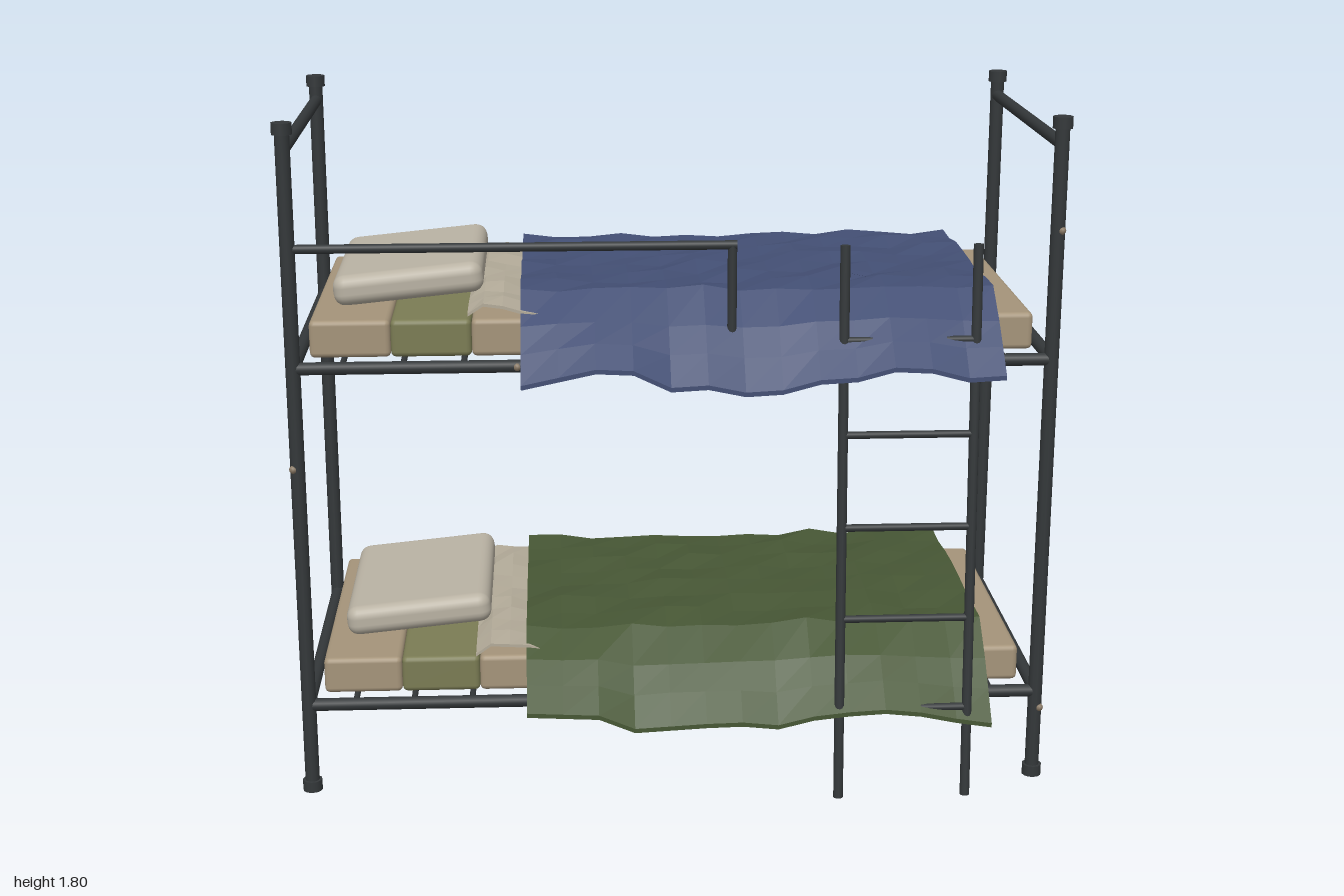
import * as THREE from 'three';
import { RoundedBoxGeometry } from 'three/addons/geometries/RoundedBoxGeometry.js';

const paint = (name, color) => {
  const m = new THREE.MeshStandardMaterial({ color });
  m.name = name;
  return m;
};

export function createModel() {
  const mat = {
    steel: paint('dark steel', 0x34383a),
    blue: paint('blue wool', 0x434f74),
    green: paint('green wool', 0x475735),
    tan: paint('tan ticking', 0xa5947a),
    olive: paint('olive ticking', 0x7b7c54),
    pillow: paint('pillow linen', 0xb9b2a3),
    sheet: paint('sheet linen', 0xb3ab99),
    rust: paint('worn spot', 0x8a7a66),
  };
  const model = new THREE.Group();
  model.name = 'bunkBed';

  const add = (parent, name, geo, material, x = 0, y = 0, z = 0) => {
    const m = new THREE.Mesh(geo, material);
    m.name = name;
    m.position.set(x, y, z);
    parent.add(m);
    return m;
  };

  // Round bar between two points
  const bar = (parent, name, a, b, r, sides = 12) => {
    const p = new THREE.Vector3(...a), q = new THREE.Vector3(...b);
    const d = q.clone().sub(p);
    const m = add(parent, name, new THREE.CylinderGeometry(r, r, d.length(), sides), mat.steel);
    m.position.copy(p).add(q).multiplyScalar(0.5);
    m.quaternion.setFromUnitVectors(new THREE.Vector3(0, 1, 0), d.normalize());
    return m;
  };

  // Repeatable value in -1..1 for a grid point
  const noise = (i, j, seed) => {
    const s = Math.sin(i * 12.99 + j * 78.23 + seed * 37.7) * 43758.55;
    return (s - Math.floor(s)) * 2 - 1;
  };

  // Thin faceted cloth: heightAt(i, j) gives y, xs and zs give the grid lines
  const cloth = (xs, zs, thick, heightAt) => {
    const nx = xs.length - 1, nz = zs.length - 1;
    const geo = new THREE.BoxGeometry(nx, 1, nz, nx, 1, nz);
    const p = geo.attributes.position;
    for (let k = 0; k < p.count; k++) {
      const i = Math.round(p.getX(k) + nx / 2), j = Math.round(p.getZ(k) + nz / 2);
      p.setXYZ(k, xs[i], heightAt(i, j) + p.getY(k) * thick, zs[j]);
    }
    const flat = geo.toNonIndexed();
    flat.computeVertexNormals();
    return flat;
  };

  const X = 0.975, ZF = 0.38, ZB = -0.48;

  // Corner posts with end caps
  for (const x of [-X, X]) for (const z of [ZF, ZB]) {
    bar(model, 'post', [x, 0.01, z], [x, 1.79, z], 0.019);
    for (const y of [0.015, 1.785])
      add(model, 'postCap', new THREE.CylinderGeometry(0.026, 0.026, 0.03, 12), mat.steel, x, y, z);
  }

  // Head and foot top rails
  for (const x of [-X, X]) bar(model, 'endRail', [x, 1.73, ZB], [x, 1.73, ZF], 0.016);

  // Guard rail on the upper bunk
  bar(model, 'guardRail', [-X, 1.48, ZF], [0.157, 1.48, ZF], 0.012);
  bar(model, 'guardRailUpright', [0.145, 1.48, ZF], [0.145, 1.17, ZF], 0.012);

  // Leaning ladder
  const ladder = new THREE.Group();
  ladder.name = 'ladder';
  model.add(ladder);
  const ladderZ = (y) => 0.5 - 0.1 * y / 1.48;
  for (const x of [0.43, 0.77])
    bar(ladder, 'ladderRail', [x, 0, ladderZ(0)], [x, 1.48, ladderZ(1.48)], 0.013);
  for (let i = 1; i <= 5; i++) {
    const y = i * 0.247;
    bar(ladder, 'rung', [0.43, y, ladderZ(y)], [0.77, y, ladderZ(y)], 0.01);
  }

  // Blanket grid: flat over the mattress, falling over the front edge
  const blanketX = Array.from({ length: 14 }, (_, i) => -0.395 + i * 1.23 / 13);
  const blanketZ = [-0.5, -0.39, -0.28, -0.17, -0.06, 0.06, 0.17, 0.28, 0.38, 0.44, 0.505];
  const drop = [0.15, 0.156, 0.16, 0.162, 0.163, 0.163, 0.165, 0.168, 0.105, 0.055, 0];

  const bunk = (name, y0, wool, hem, seed) => {
    const g = new THREE.Group();
    g.name = name;
    g.position.y = y0;
    model.add(g);

    // Bed frame and cross slats
    for (const z of [ZF, ZB]) bar(g, 'sideRail', [-X, 0, z], [X, 0, z], 0.017);
    for (const x of [-X, X]) bar(g, 'crossRail', [x, 0, ZB], [x, 0, ZF], 0.017);
    for (let i = 0; i < 12; i++) {
      const x = -0.85 + i * 1.7 / 11;
      bar(g, 'slat', [x, 0.008, ZB], [x, 0.008, ZF], 0.008, 8);
    }

    // Mattress of nine alternating padded sections
    const w = 1.865 / 9;
    for (let i = 0; i < 9; i++)
      add(g, 'mattressSection', new RoundedBoxGeometry(w, 0.098, 0.8, 2, 0.014),
        i % 2 ? mat.olive : mat.tan, -0.935 + w * (i + 0.5), 0.067, -0.05);

    // Pillow, propped up on the sheet
    const pillow = add(g, 'pillow', new RoundedBoxGeometry(0.395, 0.082, 0.55, 3, 0.032),
      mat.pillow, -0.69, 0.17, -0.085);
    pillow.rotation.z = 0.1;

    // Turned-back sheet
    const sheetX = [-0.53, -0.49, -0.44, -0.39, -0.33];
    const sheetZ = Array.from({ length: 10 }, (_, j) => -0.445 + j * 0.79 / 9);
    const crest = [0.125, 0.146, 0.146, 0.134, 0.126];
    add(g, 'sheet', cloth(sheetX, sheetZ, 0.008,
      (i, j) => crest[i] + 0.007 * noise(i, j, seed + 5)), mat.sheet);

    // Blanket with a wavy hem
    add(g, 'blanket', cloth(blanketX, blanketZ, 0.012, (i, j) => {
      if (j >= 8) {
        const t = (j - 7) / 3;
        return drop[j] + hem[i] * t + 0.006 * noise(i, j, seed) * (1 - t);
      }
      return drop[j] + 0.011 * noise(i, j, seed);
    }), wool);
  };
  bunk('lowerBunk', 0.245, mat.green,
    [0.01, 0.005, 0.0, -0.04, -0.035, -0.03, -0.028, -0.038, -0.015, -0.005, 0, -0.01, -0.03, -0.045], 2);
  bunk('upperBunk', 1.17, mat.blue,
    [-0.025, -0.005, 0.015, 0.01, -0.035, -0.03, -0.05, -0.045, -0.02, -0.015, 0.01, 0.005, -0.02, -0.015], 1);

  // Worn spots on the frame
  const spots = [[0.983, 1.51, 0.392], [-0.985, 0.905, 0.392], [0.985, 0.2, 0.392], [-0.405, 1.17, 0.39]];
  for (const s of spots) add(model, 'wornSpot', new THREE.SphereGeometry(0.011, 8, 6), mat.rust, ...s);

  return model;
}
